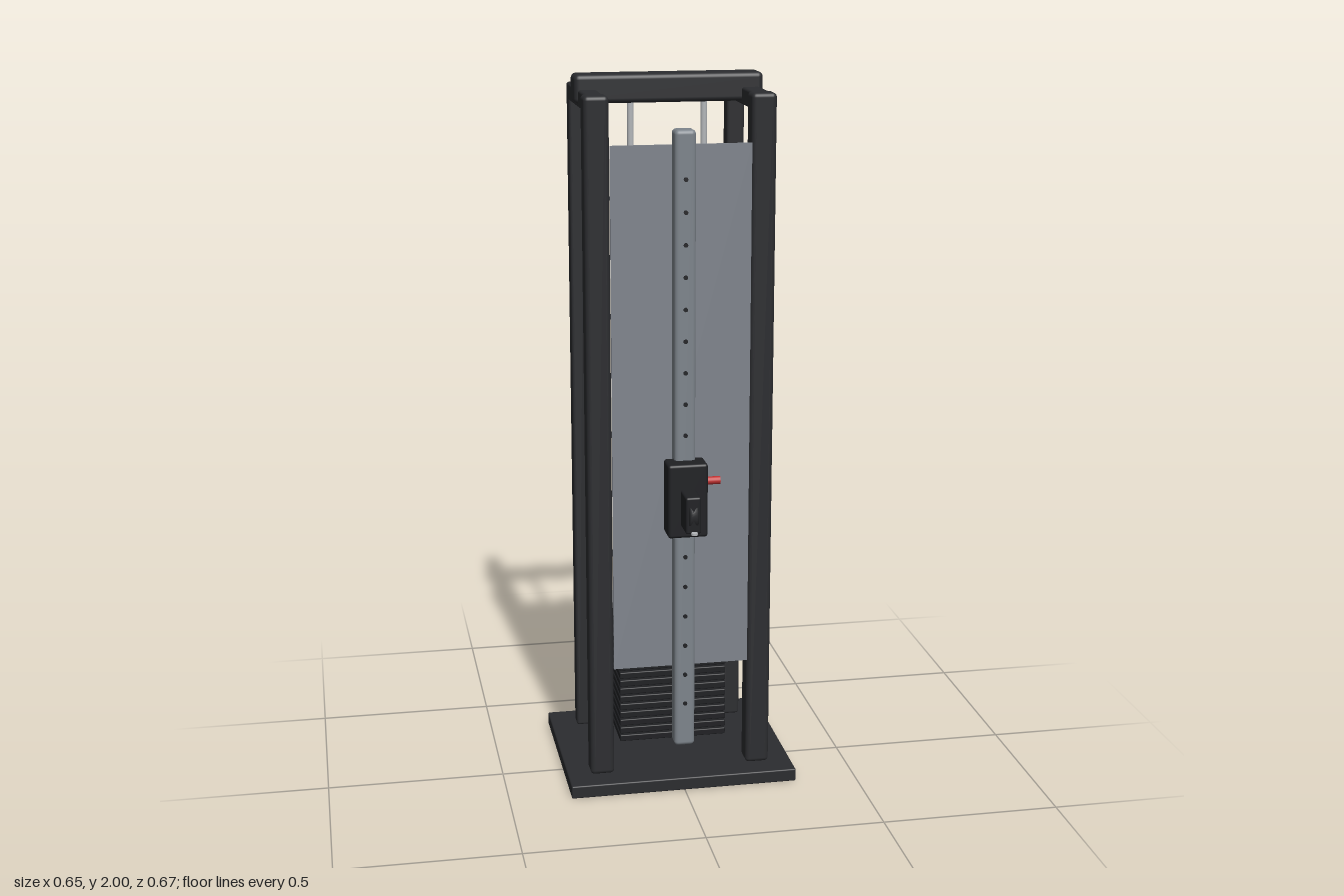
import * as THREE from 'three';
import { RoundedBoxGeometry } from 'three/addons/geometries/RoundedBoxGeometry.js';

const mat = (color) => new THREE.MeshStandardMaterial({ color });

export function createModel() {
  const model = new THREE.Group();
  model.name = 'cableMachine';
  const frame = mat(0x2b2c2f), black = mat(0x1f2023), steel = mat(0xb4b7ba);
  const railGrey = mat(0x7d848b), panelGrey = mat(0x7f848c), red = mat(0xc03030);

  const add = (name, geometry, material, x = 0, y = 0, z = 0) => {
    const mesh = new THREE.Mesh(geometry, material);
    mesh.name = name;
    mesh.position.set(x, y, z);
    model.add(mesh);
    return mesh;
  };
  // Box given by its extents on each axis, with optional rounded edges
  const box = (name, material, [x0, x1], [y0, y1], [z0, z1], r = 0) => {
    const s = [x1 - x0, y1 - y0, z1 - z0];
    const g = r ? new RoundedBoxGeometry(...s, 3, r) : new THREE.BoxGeometry(...s);
    return add(name, g, material, (x0 + x1) / 2, (y0 + y1) / 2, (z0 + z1) / 2);
  };
  // Upright rod between two heights
  const rod = (name, material, r, x, y0, y1, z) =>
    add(name, new THREE.CylinderGeometry(r, r, y1 - y0, 16), material, x, (y0 + y1) / 2, z);

  // Frame
  box('base', frame, [-0.325, 0.325], [0, 0.037], [-0.335, 0.2], 0.004);
  for (const side of [-1, 1]) {
    const span = (a, b) => (side > 0 ? [a, b] : [-b, -a]);
    box('frontPost', frame, span(0.192, 0.26), [0.036, 1.96], [0.066, 0.132], 0.012);
    box('rearPost', frame, span(0.2, 0.25), [0.036, 1.96], [-0.275, -0.225], 0.007);
    box('topSideBeam', frame, span(0.2, 0.25), [1.912, 1.96], [-0.275, 0.085], 0.007);
    rod('guideRod', steel, 0.009, side * 0.102, 0.07, 1.925, -0.075);
  }
  box('topCrossBeam', frame, [-0.26, 0.26], [1.922, 2], [-0.12, -0.034], 0.014);

  // Weight stack
  const plates = 15, pitch = 0.0244;
  for (let i = 0; i < plates; i++) {
    const y = 0.079 + i * pitch;
    box('weightPlate', black, [-0.156, 0.156], [y, y + 0.019], [-0.161, 0.012], 0.003);
  }
  box('stackTopPlate', steel, [-0.163, 0.163], [0.459, 0.483], [-0.17, 0.018], 0.001);
  rod('stackCable', steel, 0.006, 0, 0.08, 0.91, -0.075);
  add('selectorPin', new THREE.CylinderGeometry(0.004, 0.004, 0.06, 12), red, 0, 0.355, 0.033)
    .rotation.x = Math.PI / 2;

  // Front panel
  box('frontPanel', panelGrey, [-0.192, 0.192], [0.357, 1.83], [0.128, 0.134]);

  // Height rail with adjustment holes
  box('rail', railGrey, [-0.029, 0.029], [0.135, 1.875], [0.138, 0.196], 0.012);
  for (let i = 0; i < 18; i++) {
    add('railHole', new THREE.CylinderGeometry(0.006, 0.006, 0.008, 12), black,
      0, 0.265 + i * 0.0871, 0.196).rotation.x = Math.PI / 2;
  }

  // Sliding carriage, knob and pulley arm
  box('carriage', black, [-0.055, 0.055], [0.77, 0.978], [0.165, 0.24], 0.008);
  add('knob', new THREE.CylinderGeometry(0.011, 0.011, 0.045, 16), red, 0.0725, 0.92, 0.203)
    .rotation.z = Math.PI / 2;
  box('pulleyArm', black, [-0.021, 0.021], [0.805, 0.908], [0.235, 0.315], 0.006);
  const groove = [[0, -0.013], [0.04, -0.013], [0.04, -0.008], [0.033, 0], [0.04, 0.008], [0.04, 0.013], [0, 0.013]]
    .map(([r, h]) => new THREE.Vector2(r, h));
  add('pulley', new THREE.LatheGeometry(groove, 32), frame, 0, 0.855, 0.284)
    .rotation.z = Math.PI / 2;
  add('cableEnd', new THREE.CylinderGeometry(0.009, 0.009, 0.006, 20), steel, 0, 0.81, 0.326);
  return model;
}
